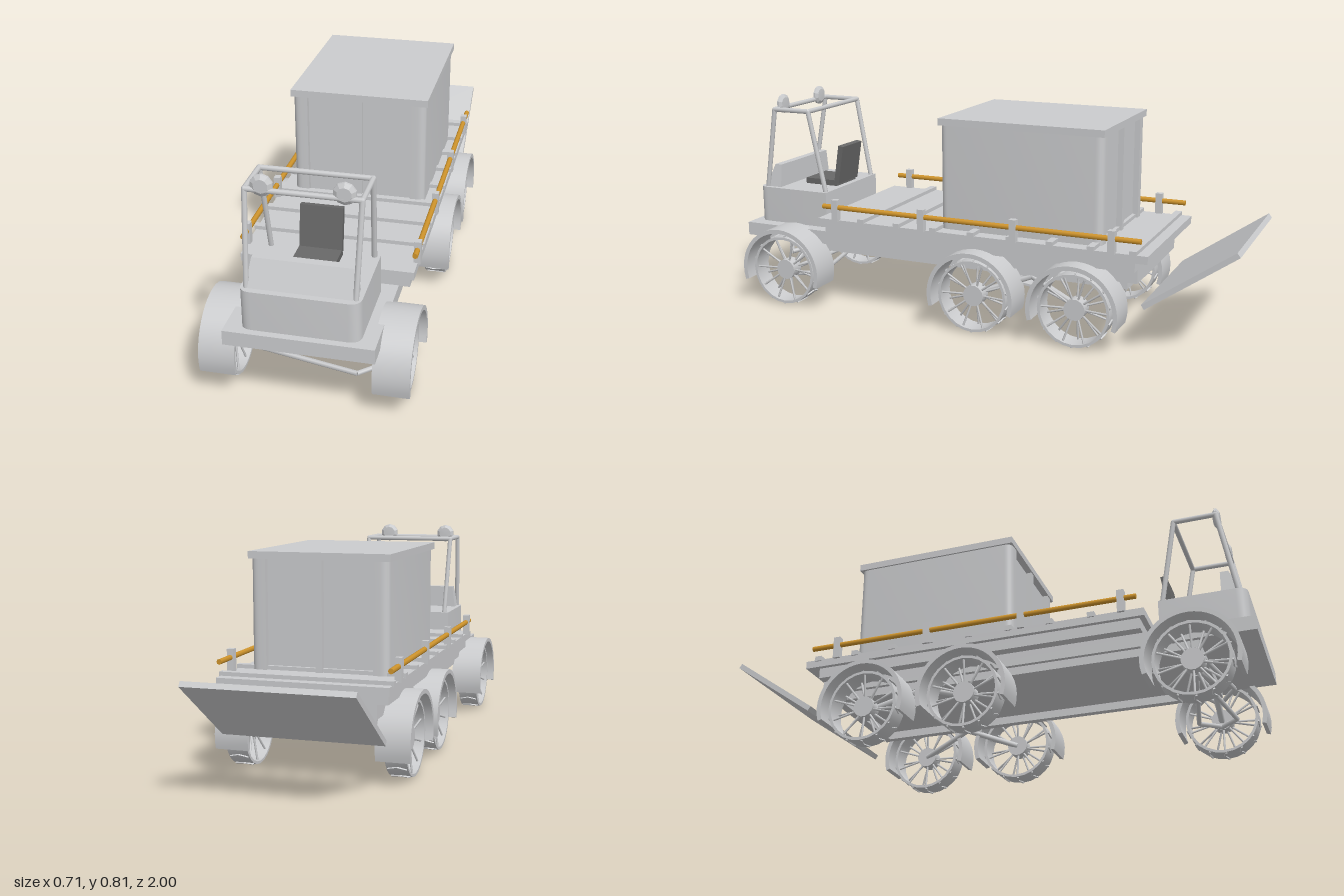
import * as THREE from 'three';
import { toCreasedNormals } from 'three/addons/utils/BufferGeometryUtils.js';

const material = (name, color) => {
  const m = new THREE.MeshStandardMaterial({ color });
  m.name = name;
  return m;
};

export function createModel() {
  const grey = material('light grey', 0xcbccce);
  const dark = material('dark grey', 0x686868);
  const amber = material('amber', 0xd0952c);
  const model = new THREE.Group();
  model.name = 'cargoTruck';

  const add = (name, geo, mat = grey, parent = model) => {
    const mesh = new THREE.Mesh(geo, mat);
    mesh.name = name;
    parent.add(mesh);
    return mesh;
  };
  // Box given by its limits along each axis
  const box = (name, [x0, x1], [y0, y1], [z0, z1], mat) => {
    const g = new THREE.BoxGeometry(x1 - x0, y1 - y0, z1 - z0);
    g.translate((x0 + x1) / 2, (y0 + y1) / 2, (z0 + z1) / 2);
    return add(name, g, mat);
  };
  // Straight bar between two points
  const rod = (name, a, b, r, mat = grey, parent = model, sides = 8) => {
    const p = new THREE.Vector3(...a), q = new THREE.Vector3(...b), d = q.clone().sub(p);
    const mesh = add(name, new THREE.CylinderGeometry(r, r, d.length(), sides), mat, parent);
    mesh.position.copy(p).add(q).multiplyScalar(0.5);
    mesh.quaternion.setFromUnitVectors(new THREE.Vector3(0, 1, 0), d.normalize());
    return mesh;
  };
  // Plan outline (x, z) extruded from y0 to y1
  const prism = (name, shape, y0, y1) => {
    const g = new THREE.ExtrudeGeometry(shape, { depth: y1 - y0, bevelEnabled: false, curveSegments: 6 });
    g.rotateX(Math.PI / 2).translate(0, y1, 0);
    return add(name, toCreasedNormals(g, 0.6));
  };

  // Chassis on an open ladder frame
  box('chassis', [-0.25, 0.25], [0.245, 0.297], [-0.64, 1]);
  for (const s of [-1, 1]) {
    box('frameRail', [s * 0.22 - 0.014, s * 0.22 + 0.014], [0.215, 0.246], [-0.6, 0.8]);
  }
  for (const z of [-0.586, 0.786]) box('frameCrossBeam', [-0.21, 0.21], [0.215, 0.246], [z - 0.014, z + 0.014]);

  // Load bed
  box('bedSupport', [-0.288, 0.288], [0.296, 0.338], [-0.64, 0.61]);
  box('bed', [-0.305, 0.305], [0.336, 0.365], [-0.69, 0.63]);
  for (let i = 0; i < 8; i++) {
    const z = 0.44 - i * 0.154;
    box('bedSlat', [-0.31, 0.31], [0.36, 0.379], [z - 0.013, z + 0.013]);
  }

  // Side rails on short posts
  for (const s of [-1, 1]) {
    rod('sideRail', [s * 0.303, 0.415, 0.605], [s * 0.303, 0.415, -0.665], 0.01, amber);
    for (const z of [0.55, 0.18, -0.19, -0.56]) {
      box('railPost', [s * 0.303 - 0.012, s * 0.303 + 0.012], [0.36, 0.445], [z - 0.013, z + 0.013]);
    }
  }

  // Container: rounded corners, two recessed panels at each end
  const [w, zf, zb, r, d] = [0.25, 0.126, -0.505, 0.03, 0.022];
  const c = new THREE.Shape();
  c.moveTo(-w, zb + r);
  c.quadraticCurveTo(-w, zb, -w + r, zb);
  for (const [a, b] of [[-0.195, -0.012], [0.012, 0.195]]) {
    c.lineTo(a, zb); c.lineTo(a, zb + d); c.lineTo(b, zb + d); c.lineTo(b, zb);
  }
  c.lineTo(w - r, zb);
  c.quadraticCurveTo(w, zb, w, zb + r);
  c.lineTo(w, zf - r);
  c.quadraticCurveTo(w, zf, w - r, zf);
  for (const [a, b] of [[0.195, 0.012], [-0.012, -0.195]]) {
    c.lineTo(a, zf); c.lineTo(a, zf - d); c.lineTo(b, zf - d); c.lineTo(b, zf);
  }
  c.lineTo(-w + r, zf);
  c.quadraticCurveTo(-w, zf, -w, zf - r);
  prism('container', c, 0.364, 0.757);
  box('containerLid', [-0.257, 0.257], [0.756, 0.782], [-0.51, 0.13]);

  // Raised loading ramp
  const ramp = add('loadingRamp', new THREE.BoxGeometry(0.58, 0.02, 0.395));
  ramp.position.set(0, 0.289, -0.834);
  ramp.rotation.x = Math.atan2(0.225, 0.322);

  // Cab tub with rounded front corners
  const tub = new THREE.Shape();
  tub.moveTo(-0.198, 0.66);
  tub.lineTo(0.198, 0.66);
  tub.lineTo(0.198, 0.935);
  tub.quadraticCurveTo(0.198, 0.975, 0.158, 0.975);
  tub.lineTo(-0.158, 0.975);
  tub.quadraticCurveTo(-0.198, 0.975, -0.198, 0.935);
  prism('cabTub', tub, 0.294, 0.438);

  // Wedge dashboard: sloping front, upright back, narrower at the top
  const dash = new THREE.BoxGeometry(0.36, 0.092, 0.07);
  const p = dash.attributes.position;
  for (let i = 0; i < p.count; i++) {
    const t = p.getY(i) / 0.092 + 0.5;
    p.setX(i, p.getX(i) * (1 - t * 0.07));
    if (p.getZ(i) > 0) p.setZ(i, p.getZ(i) - t * 0.04);
  }
  dash.computeVertexNormals();
  add('dashboard', dash).position.set(0, 0.483, 0.918);

  // Seat
  box('seatCushion', [-0.073, 0.073], [0.438, 0.461], [0.685, 0.83], dark);
  const back = add('seatBack', new THREE.BoxGeometry(0.146, 0.155, 0.022), dark);
  back.position.set(0, 0.527, 0.674);
  back.rotation.x = -0.16;

  // Roll cage
  const cageR = 0.0095, top = 0.757, fz = 0.89, bz = 0.735, cx = 0.187;
  for (const s of [-1, 1]) {
    rod('cageFrontPost', [s * 0.178, 0.435, 0.945], [s * cx, top, fz], cageR);
    rod('cageRearPost', [s * 0.178, 0.435, 0.672], [s * cx, top, bz], cageR);
    rod('cageSideBar', [s * cx, top, fz], [s * cx, top, bz], cageR);
    for (const z of [fz, bz]) {
      add('cageCorner', new THREE.SphereGeometry(cageR, 8, 6)).position.set(s * cx, top, z);
    }
  }
  rod('cageFrontBar', [-cx, top, fz], [cx, top, fz], cageR);
  rod('cageRearBar', [-cx, top, bz], [cx, top, bz], cageR);

  // Roof lamps: bevelled discs
  const lamp = new THREE.LatheGeometry([[0, -0.014], [0.026, -0.012], [0.038, -0.004], [0.038, 0.004], [0.024, 0.013], [0, 0.013]]
    .map(([x, y]) => new THREE.Vector2(x, y)), 10);
  lamp.rotateX(Math.PI / 2);
  for (const s of [-1, 1]) add('roofLamp', toCreasedNormals(lamp, 0.3)).position.set(s * 0.132, 0.773, 0.886);

  // Wheel parts share one axis along x
  const rim = new THREE.LatheGeometry([[0.136, -0.039], [0.136, 0.039], [0.126, 0.039], [0.126, -0.039], [0.136, -0.039]]
    .map(([x, y]) => new THREE.Vector2(x, y)), 24);
  const rimGeo = toCreasedNormals(rim.rotateZ(-Math.PI / 2), 0.5);
  const hubGeo = new THREE.CylinderGeometry(0.04, 0.04, 0.05, 14).rotateZ(Math.PI / 2);
  const R = 0.172, a0 = -0.29;
  const arch = new THREE.Shape();
  arch.absarc(0, 0, R, a0, Math.PI - a0, false);
  arch.absarc(0, 0, R - 0.016, Math.PI - a0, a0, true);
  const fender = new THREE.ExtrudeGeometry(arch, { depth: 0.124, bevelEnabled: false, curveSegments: 12 });
  fender.translate(0, 0, -0.062).rotateY(Math.PI / 2);
  const fenderGeo = toCreasedNormals(fender, 0.4);

  for (const z of [0.785, -0.035, -0.43]) {
    for (const s of [-1, 1]) {
      const wheel = new THREE.Group();
      wheel.name = 'wheel';
      wheel.position.set(s * 0.291, 0.14, z);
      model.add(wheel);
      add('rim', rimGeo, grey, wheel);
      add('hub', hubGeo, grey, wheel);
      for (let i = 0; i < 20; i++) {
        const a = i / 20 * Math.PI * 2, x = (i % 2 ? 1 : -1);
        rod('spoke', [x * 0.012, Math.cos(a) * 0.035, Math.sin(a) * 0.035],
          [x * 0.026, Math.cos(a) * 0.129, Math.sin(a) * 0.129], 0.0042, grey, wheel, 5);
      }
      // Chevron tread bars
      for (let i = 0; i < 14; i++) {
        const tread = new THREE.Group();
        tread.name = 'tread';
        tread.rotation.x = i / 14 * Math.PI * 2;
        wheel.add(tread);
        for (const k of [-1, 1]) {
          const bar = add('treadBar', new THREE.BoxGeometry(0.036, 0.006, 0.007), grey, tread);
          bar.position.set(k * 0.017, 0.137, 0);
          bar.rotation.y = k * 0.3;
        }
      }
      add('fender', fenderGeo).position.set(s * 0.292, 0.14, z);
    }
  }

  // Front wishbones and steering links
  for (const dz of [-0.07, 0.07]) {
    for (const [yEnd, yMid] of [[0.108, 0.093], [0.2, 0.214]]) {
      const mid = [0.16, yMid, 0.785 + dz];
      rod('wishbone', [-0.26, yEnd, 0.785], mid, 0.009, grey, model, 6);
      rod('wishboneEnd', mid, [0.26, yEnd, 0.785], 0.009, grey, model, 6);
    }
  }
  rod('damperLong', [-0.26, 0.125, 0.785], [0.11, 0.238, 0.785], 0.012, grey, model, 6);
  rod('damperShort', [0.11, 0.238, 0.785], [0.26, 0.13, 0.785], 0.012, grey, model, 6);

  // Rear bogie arms meeting under the frame rails
  for (const s of [-1, 1]) {
    for (const z of [-0.035, -0.43]) {
      rod('bogieArm', [s * 0.27, 0.14, z], [s * 0.225, 0.215, -0.2325], 0.011, grey, model, 6);
    }
  }
  return model;
}
